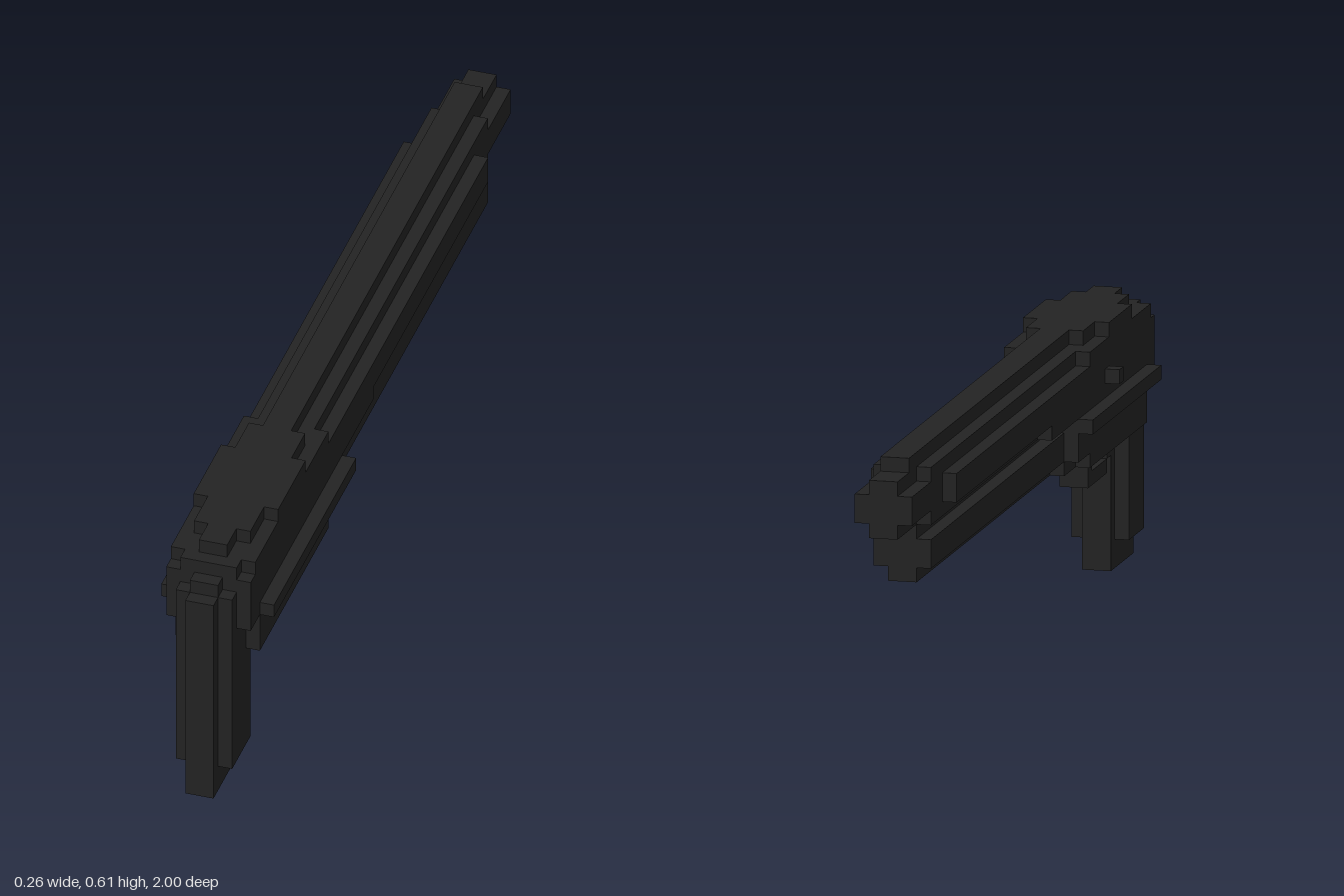
import * as THREE from 'three';

const U = 2 / 62; // one grid cell

export function createModel() {
  const model = new THREE.Group();
  const darkMetal = new THREE.MeshStandardMaterial({ color: 0x232323 });
  darkMetal.name = 'darkMetal';

  // Blocks: [x0, x1, y0, y1, k0, k1] in cells; k counts from the butt end (+z) to the muzzle (-z)
  function part(name, blocks) {
    const group = new THREE.Group();
    group.name = name;
    for (const [x0, x1, y0, y1, k0, k1] of blocks) {
      const geo = new THREE.BoxGeometry((x1 - x0) * U, (y1 - y0) * U, (k1 - k0) * U);
      const mesh = new THREE.Mesh(geo, darkMetal);
      mesh.name = name + 'Block';
      mesh.position.set((x0 + x1) / 2 * U, (y0 + y1) / 2 * U, 1 - (k0 + k1) / 2 * U);
      group.add(mesh);
    }
    model.add(group);
  }
  // Symmetric block of half-width w
  const sym = (w, y0, y1, k0, k1) => [-w, w, y0, y1, k0, k1];
  // Rod with notched corners, four cells square
  const rod = (y, k0, k1) => [sym(2, y + 1, y + 3, k0, k1), sym(1, y, y + 4, k0, k1)];

  part('grip', [
    sym(1, 0, 16, 0, 6),
    sym(2, 2, 16, 1, 5),
    sym(1, 16, 17, 1, 6),
  ]);

  part('receiver', [
    sym(2, 10, 13, 4, 22),
    sym(3, 10, 11, 4, 19),
    sym(3, 11, 13, 4, 22),
    sym(3, 13, 14, 2, 22),
    sym(3, 14, 17, 2, 19),
    sym(2, 17, 18, 2, 19),
    sym(3, 17, 18, 3, 19),
  ]);

  // Stepped top cover running into the sight rib
  part('topCover', [
    sym(3, 18, 19, 8, 14),
    sym(2, 18, 19, 5, 17),
    sym(1, 18, 19, 3, 59),
  ]);

  part('sideRail', [
    [3, 4, 13, 14, 4, 22],
    [-4, -3, 13, 14, 4, 22],
  ]);
  part('sideButton', [[-4, -3, 15, 16, 14, 15]]);

  // Barrel housing with side bands
  part('barrelHousing', [
    sym(2, 14, 18, 19, 57),
    sym(3, 15, 17, 19, 54),
    sym(3, 14, 15, 19, 29),
  ]);
  part('muzzle', rod(14, 57, 62));
  part('foregrip', rod(10, 22, 57));

  part('triggerGuard', [
    sym(1, 8, 10, 6, 7),
    sym(1, 7, 8, 7, 12),
    sym(1, 8, 10, 11, 12),
    sym(1, 9, 10, 12, 14),
  ]);
  part('trigger', [sym(1, 9, 10, 8, 9)]);
  part('gripNeck', [sym(1, 10, 17, 1, 7)]);

  return model;
}
